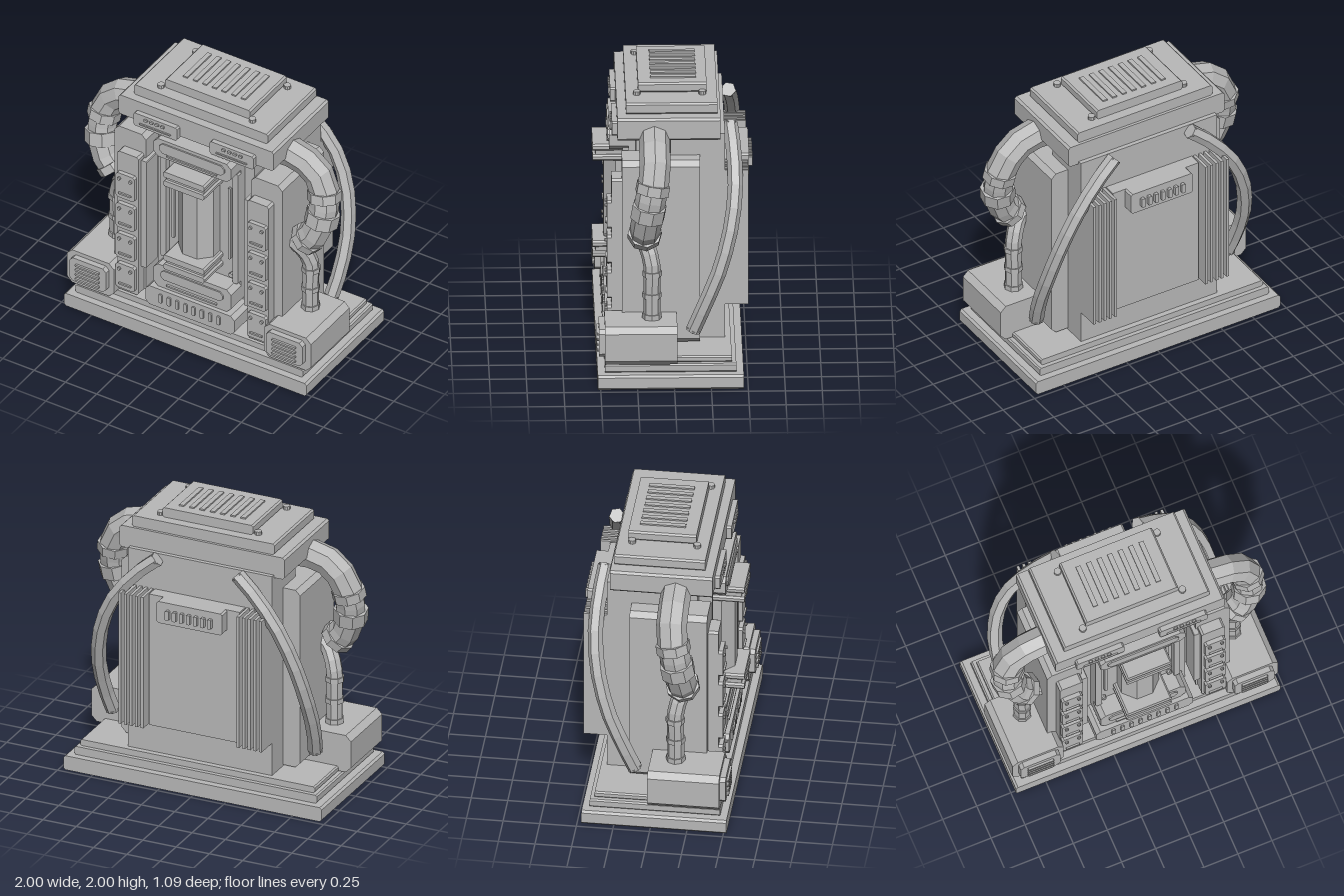
import * as THREE from 'three';

export function createModel() {
  const model = new THREE.Group();
  const grey = new THREE.MeshStandardMaterial({ color: 0xb8b8b8 });
  grey.name = 'plain grey';

  const add = (name, geo) => {
    const flat = geo.index ? geo.toNonIndexed() : geo;
    flat.computeVertexNormals();
    const mesh = new THREE.Mesh(flat, grey);
    mesh.name = name;
    model.add(mesh);
    return mesh;
  };

  // Box given by its limits
  const box = (name, x0, x1, y0, y1, z0, z1) =>
    add(name, new THREE.BoxGeometry(x1 - x0, y1 - y0, z1 - z0))
      .position.set((x0 + x1) / 2, (y0 + y1) / 2, (z0 + z1) / 2);

  // Plate with cut corners, facing z
  const plate = (name, x0, x1, y0, y1, z0, z1, c) => {
    const s = new THREE.Shape([
      [x0 + c, y0], [x1 - c, y0], [x1, y0 + c], [x1, y1 - c],
      [x1 - c, y1], [x0 + c, y1], [x0, y1 - c], [x0, y0 + c],
    ].map(([x, y]) => new THREE.Vector2(x, y)));
    const geo = new THREE.ExtrudeGeometry(s, { depth: z1 - z0, bevelEnabled: false });
    add(name, geo.translate(0, 0, z0));
  };

  // Plate mirrored to the chosen side
  const sidePlate = (name, s, x0, x1, ...rest) =>
    s > 0 ? plate(name, x0, x1, ...rest) : plate(name, -x1, -x0, ...rest);
  const bolt = (name, x, y, z, r, h, alongZ = true) => {
    const geo = new THREE.CylinderGeometry(r, r, h, 10);
    if (alongZ) geo.rotateX(Math.PI / 2);
    add(name, geo).position.set(x, y, z);
  };

  // Faceted pipe through points, with collars [position, radius, length]
  const pipe = (name, s, pts, radius, segments, sides, collars = []) => {
    const curve = new THREE.CatmullRomCurve3(pts.map(([x, y, z]) => new THREE.Vector3(s * x, y, z)));
    add(name, new THREE.TubeGeometry(curve, segments, radius, sides));
    collars.forEach(([t, r, len]) => {
      const collar = add(name + 'Collar', new THREE.CylinderGeometry(r, r, len, sides));
      collar.position.copy(curve.getPointAt(t));
      collar.quaternion.setFromUnitVectors(new THREE.Vector3(0, 1, 0), curve.getTangentAt(t));
    });
  };

  // Stepped base
  plate('basePlinth', -0.97, 0.97, 0, 0.105, -0.47, 0.52, 0.015);
  plate('baseStep', -0.91, 0.91, 0.105, 0.165, -0.42, 0.47, 0.01);
  plate('baseTop', -0.88, 0.88, 0.165, 0.21, -0.39, 0.42, 0.01);

  // Main body
  box('rearBody', -0.54, 0.54, 0.2, 1.7, -0.35, 0.02);
  box('frontCore', -0.385, 0.385, 0.2, 1.69, 0, 0.25);
  plate('frontPanel', -0.31, 0.31, 0.38, 1.63, 0.25, 0.3, 0.04);

  // Stepped cap with vent slats
  plate('capLower', -0.62, 0.62, 1.68, 1.84, -0.32, 0.38, 0.015);
  plate('capMiddle', -0.535, 0.535, 1.84, 1.92, -0.3, 0.32, 0.012);
  plate('capUpper', -0.34, 0.34, 1.92, 1.99, -0.23, 0.235, 0.012);
  for (let i = -3; i <= 3; i++) {
    const x = i * 0.077;
    box('ventSlat', x - 0.017, x + 0.017, 1.985, 2, -0.16, 0.15);
  }

  // Central canister and its holders
  const canister = new THREE.CylinderGeometry(0.15, 0.15, 0.66, 8);
  canister.rotateY(Math.PI / 8);
  add('canister', canister).position.set(0, 1.055, 0.325);
  for (const [a, b] of [[1.35, 1.395], [1.425, 1.47], [0.645, 0.69], [0.72, 0.765]]) {
    plate('canisterFlange', -0.165, 0.165, a, b, 0.28, 0.54, 0.012);
  }
  for (const y of [1.41, 0.705]) box('canisterHolder', -0.15, 0.15, y - 0.04, y + 0.04, 0.28, 0.52);

  // Upper and lower front blocks with raised bars
  plate('upperBlock', -0.31, 0.31, 1.485, 1.635, 0.25, 0.43, 0.035);
  plate('upperBar', -0.26, 0.26, 1.53, 1.61, 0.43, 0.44, 0.025);
  box('upperBarEdge', -0.2, 0.2, 1.512, 1.525, 0.43, 0.445);
  plate('lowerBlock', -0.31, 0.31, 0.385, 0.57, 0.25, 0.43, 0.035);
  plate('lowerBar', -0.25, 0.25, 0.46, 0.535, 0.43, 0.44, 0.025);
  box('lowerBarEdge', -0.2, 0.2, 0.415, 0.428, 0.43, 0.445);

  // Lower grille
  plate('lowerGrille', -0.355, 0.355, 0.23, 0.385, 0.25, 0.46, 0.03);
  for (let i = 0; i < 8; i++) {
    const x = (i - 3.5) * 0.066;
    plate('grilleSlat', x - 0.013, x + 0.013, 0.28, 0.35, 0.46, 0.472, 0.005);
  }

  // Rear panel and label box
  box('rearPanel', -0.34, 0.34, 0.45, 1.43, -0.44, -0.35);
  plate('rearLabelBox', -0.245, 0.245, 1.27, 1.43, -0.52, -0.43, 0.012);
  for (let i = -3; i <= 3; i++) {
    const x = i * 0.053;
    plate('rearLabelBar', x - 0.014, x + 0.014, 1.31, 1.38, -0.545, -0.52, 0.005);
  }

  for (const s of [1, -1]) {
    // Front column with control plates
    sidePlate('column', s, 0.42, 0.67, 0.22, 1.545, -0.18, 0.35, 0.035);
    sidePlate('columnPanel', s, 0.435, 0.605, 0.23, 1.395, 0.35, 0.42, 0.015);
    sidePlate('columnStrip', s, 0.39, 0.435, 0.46, 1.36, 0.25, 0.39, 0.005);
    for (const y of [0.265, 0.52, 0.775, 1.03]) {
      sidePlate('controlPlate', s, 0.45, 0.6, y, y + 0.205, 0.42, 0.45, 0.015);
      sidePlate('controlLine', s, 0.475, 0.575, y + 0.035, y + 0.048, 0.45, 0.462, 0.003);
      for (const x of [0.48, 0.57]) bolt('controlBolt', s * x, y + 0.165, 0.455, 0.012, 0.02);
    }

    // Front panel trim
    sidePlate('panelStrip', s, 0.215, 0.235, 0.74, 1.34, 0.3, 0.32, 0.005);
    sidePlate('panelRail', s, 0.265, 0.31, 0.57, 1.5, 0.3, 0.34, 0.01);
    for (const y of [0.61, 1.475]) bolt('panelBolt', s * 0.24, y, 0.31, 0.018, 0.03);

    // Cap label and bolts
    sidePlate('capLabel', s, 0.13, 0.48, 1.66, 1.765, 0.36, 0.415, 0.012);
    sidePlate('capLabelLine', s, 0.18, 0.43, 1.685, 1.695, 0.415, 0.425, 0.003);
    for (let i = 0; i < 4; i++) {
      const x = 0.23 + i * 0.045;
      sidePlate('capLabelDot', s, x, x + 0.028, 1.727, 1.745, 0.415, 0.427, 0.004);
    }
    for (const z of [0.245, -0.2]) bolt('capBolt', s * 0.365, 1.93, z, 0.025, 0.03, false);

    // Foot unit with louvres
    sidePlate('footUnit', s, 0.6, 0.975, 0.175, 0.45, -0.02, 0.47, 0.04);
    sidePlate('footGrille', s, 0.64, 0.93, 0.225, 0.42, 0.47, 0.51, 0.025);
    for (let i = 0; i < 4; i++) {
      const y = 0.25 + i * 0.038;
      sidePlate('footLouvre', s, 0.69, 0.88, y, y + 0.016, 0.51, 0.525, 0.004);
    }

    // Rear cooling fins
    for (let i = 0; i < 5; i++) {
      const x = s * (0.36 + i * 0.042);
      box('coolingFin', x - 0.01, x + 0.01, 0.45, 1.43, -0.51, -0.35);
    }

    // Large elbow pipe, thin feed pipe and rear hose
    pipe('largePipe', s, [[0.38, 1.67, 0.13], [0.6, 1.685, 0.13], [0.74, 1.65, 0.13], [0.85, 1.54, 0.13],
      [0.885, 1.36, 0.16], [0.855, 1.17, 0.19], [0.755, 1.04, 0.2]], 0.105, 9, 8,
    [[0.06, 0.108, 0.12], [0.59, 0.118, 0.07], [0.75, 0.12, 0.1], [0.97, 0.118, 0.06]]);
    pipe('thinPipe', s, [[0.77, 0.44, 0.15], [0.77, 0.62, 0.15], [0.77, 0.83, 0.15], [0.74, 0.92, 0.17],
      [0.69, 0.99, 0.2], [0.62, 1.03, 0.2]], 0.058, 10, 8,
    [[0.04, 0.066, 0.04], [0.27, 0.066, 0.035], [0.51, 0.066, 0.035]]);
    pipe('rearHose', s, [[0.3, 1.68, -0.39], [0.45, 1.55, -0.41], [0.61, 1.35, -0.42], [0.72, 1.1, -0.39],
      [0.78, 0.8, -0.31], [0.785, 0.55, -0.21], [0.76, 0.35, -0.13]], 0.052, 10, 6,
    [[0.005, 0.053, 0.015], [0.995, 0.053, 0.015]]);
  }
  return model;
}
